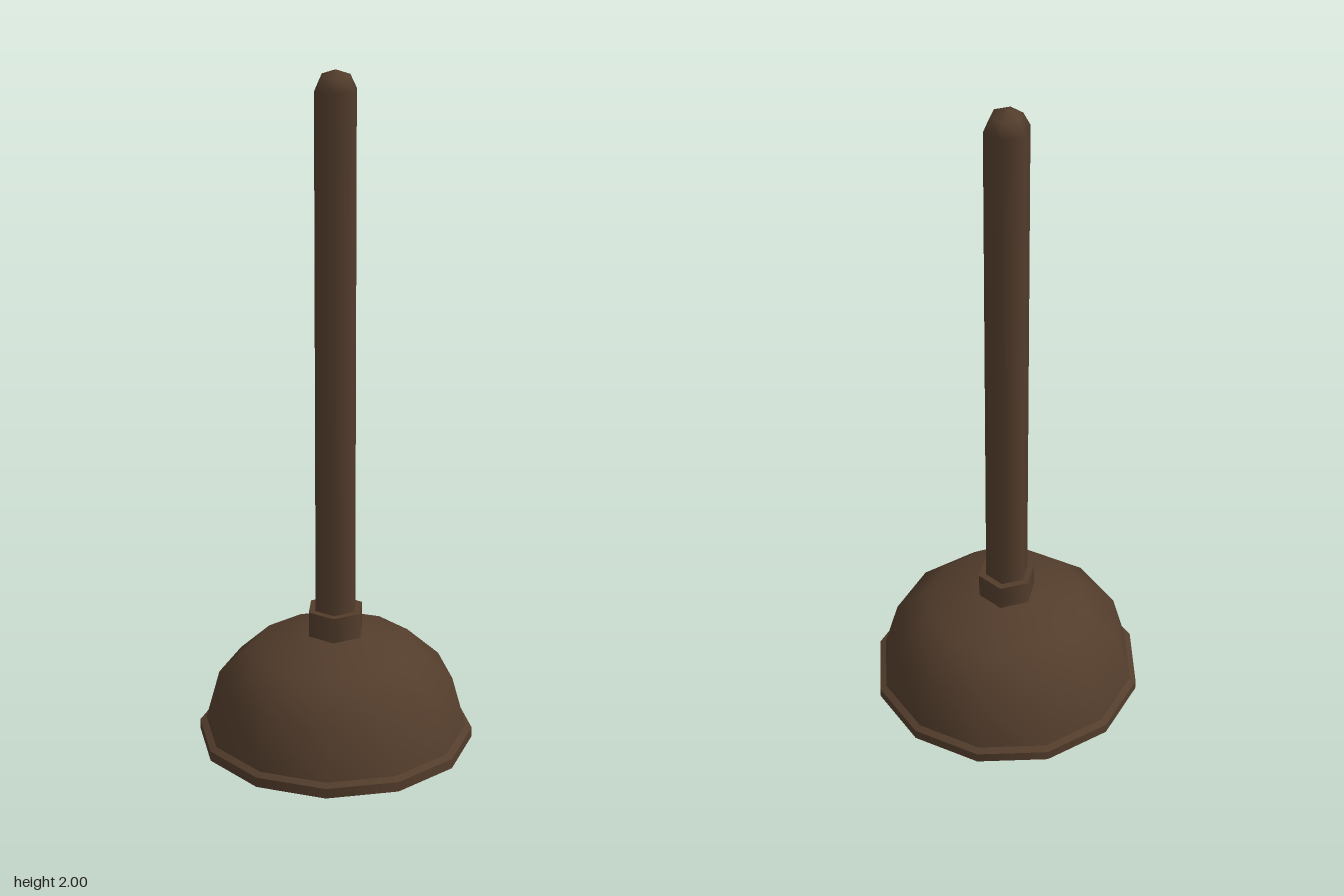
import * as THREE from 'three';

export function createModel() {
  const group = new THREE.Group();
  const brown = new THREE.MeshStandardMaterial({ color: 0x533d2c });
  brown.name = 'brown';

  // Each profile is one smooth surface; separate profiles meet in a sharp edge.
  function turned(name, sides, profiles) {
    const part = new THREE.Group();
    part.name = name;
    profiles.forEach((profile, i) => {
      const points = profile.map(([r, y]) => new THREE.Vector2(r, y));
      const mesh = new THREE.Mesh(new THREE.LatheGeometry(points, sides, Math.PI / 2), brown);
      mesh.name = `${name}Surface${i + 1}`;
      part.add(mesh);
    });
    group.add(part);
  }

  // Six-sided stick running smoothly into a rounded tip
  turned('handle', 6, [
    [[0.065, 0.335], [0.065, 1.945], [0.045, 1.985], [0.003, 2], [0, 2]],
  ]);

  // Socket holding the stick
  turned('collar', 6, [
    [[0.087, 0.33], [0.087, 0.41]],
    [[0.087, 0.41], [0.065, 0.41]],
  ]);

  // Thin hollow cup: outside, then inside
  turned('cup', 12, [
    [[0.388, 0.04], [0.347, 0.19], [0.24, 0.29], [0.085, 0.333], [0, 0.337]],
    [[0, 0.327], [0.085, 0.323], [0.233, 0.281], [0.337, 0.184], [0.377, 0.04]],
  ]);

  // Lip around the bottom of the cup, turned slightly inward
  turned('rim', 12, [
    [[0.377, 0.04], [0.354, 0]],
    [[0.354, 0], [0.407, 0]],
    [[0.407, 0], [0.407, 0.03]],
    [[0.407, 0.03], [0.388, 0.04]],
  ]);

  return group;
}
